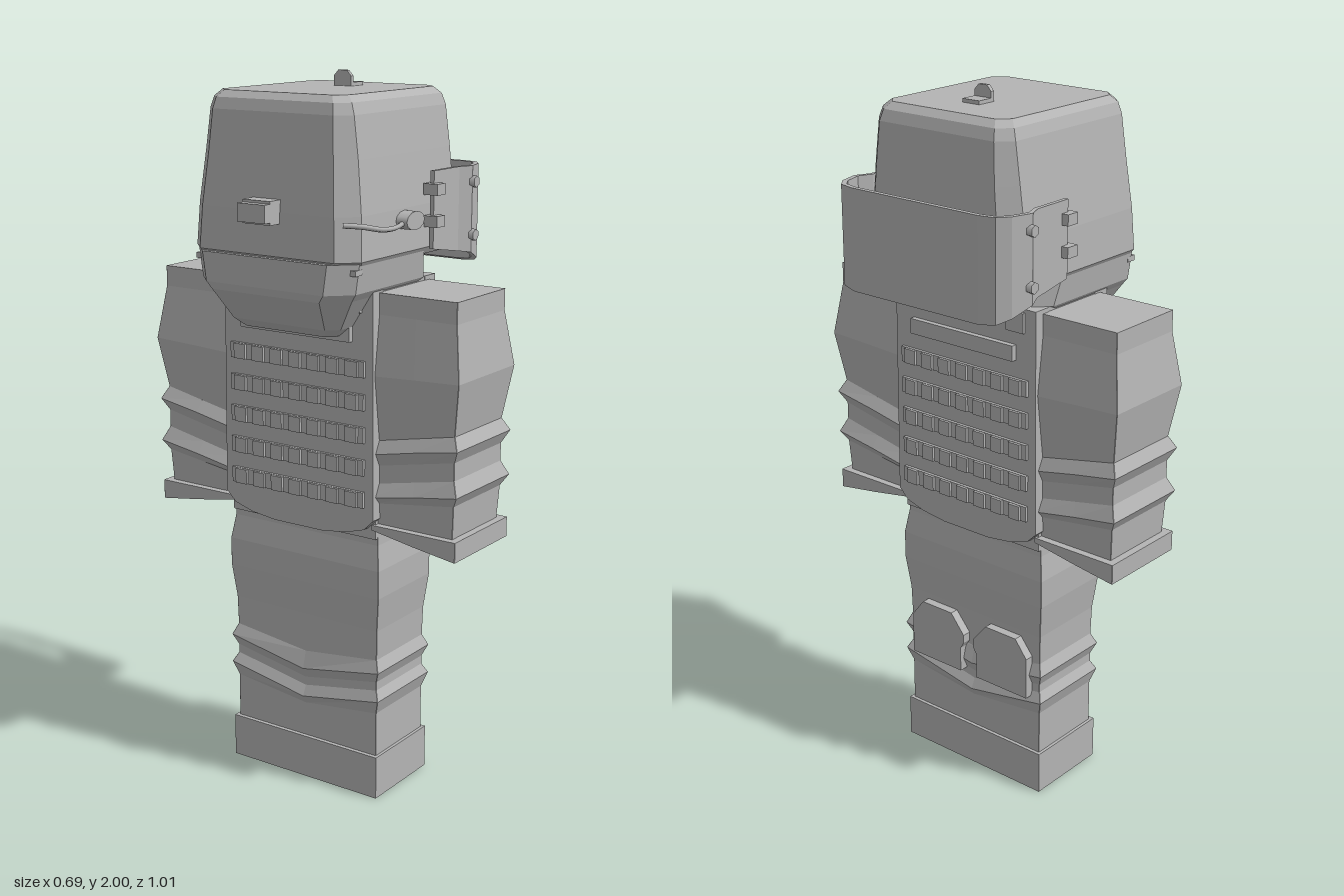
import * as THREE from 'three';

const grey = new THREE.MeshStandardMaterial({ color: 0xb4b4b4 });
grey.name = 'grey';

// Ten-point ring: rectangle with cut corners and a midpoint on the +x and -x sides
function ring(y, x0, x1, z0, z1, c = 0.001, dy = () => 0) {
  const m = (z0 + z1) / 2;
  return [[x1, m], [x1, z0 + c], [x1 - c, z0], [x0 + c, z0], [x0, z0 + c],
    [x0, m], [x0, z1 - c], [x0 + c, z1], [x1 - c, z1], [x1, z1 - c]]
    .map(([x, z]) => new THREE.Vector3(x, y + dy(z), z));
}

// Flat-sided solid through rings listed from bottom to top
function loft(rings) {
  const p = [];
  const tri = (...v) => v.forEach(q => p.push(q.x, q.y, q.z));
  const n = rings[0].length;
  for (let i = 0; i < rings.length - 1; i++) {
    for (let k = 0; k < n; k++) {
      const a = rings[i][k], b = rings[i][(k + 1) % n];
      const c = rings[i + 1][(k + 1) % n], d = rings[i + 1][k];
      tri(a, b, c);
      tri(a, c, d);
    }
  }
  const lo = rings[0], hi = rings[rings.length - 1];
  for (let k = 1; k < n - 1; k++) {
    tri(lo[0], lo[k + 1], lo[k]);
    tri(hi[0], hi[k], hi[k + 1]);
  }
  const g = new THREE.BufferGeometry();
  g.setAttribute('position', new THREE.Float32BufferAttribute(p, 3));
  g.computeVertexNormals();
  return g;
}

function add(parent, name, geometry) {
  const mesh = new THREE.Mesh(geometry, grey);
  mesh.name = name;
  parent.add(mesh);
  return mesh;
}

function box(parent, name, x0, x1, y0, y1, z0, z1) {
  const m = add(parent, name, new THREE.BoxGeometry(x1 - x0, y1 - y0, z1 - z0));
  m.position.set((x0 + x1) / 2, (y0 + y1) / 2, (z0 + z1) / 2);
  return m;
}

// Outline in (z, y) pushed out along +x from x0 to x1
function slab(parent, name, pts, x0, x1) {
  const shape = new THREE.Shape(pts.map(([z, y]) => new THREE.Vector2(-z, y)));
  const g = new THREE.ExtrudeGeometry(shape, { depth: x1 - x0, bevelEnabled: false });
  g.rotateY(Math.PI / 2).translate(x0, 0, 0);
  return add(parent, name, g);
}

// Vest panel with webbing, facing +x
function vestPanel(name) {
  const g = new THREE.Group();
  g.name = name;
  const half = [[0.245, 1.46], [0.25, 0.83], [0.22, 0.80], [0.16, 0.782], [0.08, 0.772]];
  const mirrored = half.map(([z, y]) => [-z, y]).reverse();
  slab(g, 'vestPlate', [...half, ...mirrored], 0.10, 0.152);
  box(g, 'chestStrip', 0.15, 0.168, 1.315, 1.358, -0.18, 0.18);
  for (let i = 0; i < 5; i++) {
    const y = 0.885 + i * 0.09;
    box(g, 'webbing', 0.15, 0.161, y - 0.022, y + 0.022, -0.222, 0.222);
    for (let k = -3; k <= 3; k++) {
      box(g, 'webbingLoop', 0.155, 0.169, y - 0.021, y + 0.021, k * 0.062 - 0.019, k * 0.062 + 0.019);
    }
  }
  for (const s of [-1, 1]) {
    const buckle = box(g, 'strapBuckle', 0.145, 0.16, 1.395, 1.45, -0.03, 0.03);
    buckle.position.z = s * 0.18;
  }
  return g;
}

function buildHead(root) {
  const head = new THREE.Group();
  head.name = 'head';
  root.add(head);

  // Helmet shell: [y, back, front, half width, corner cut]
  const shell = [
    [1.525, -0.275, 0.25, 0.255, 0.05], [1.545, -0.29, 0.265, 0.268, 0.05],
    [1.66, -0.283, 0.265, 0.262, 0.05], [1.80, -0.268, 0.262, 0.245, 0.045],
    [1.91, -0.258, 0.255, 0.23, 0.038], [1.94, -0.25, 0.245, 0.22, 0.034],
    [1.958, -0.232, 0.225, 0.202, 0.03],
  ];
  add(head, 'helmet', loft(shell.map(([y, b, f, w, c]) => ring(y, b, f, -w, w, c))));

  // Neck guard narrowing down the back
  const guard = [
    [1.33, -0.205, -0.13, 0.15, 0.02], [1.355, -0.235, -0.11, 0.18, 0.03],
    [1.44, -0.295, 0.11, 0.235, 0.06], [1.46, -0.30, 0.145, 0.25, 0.06],
    [1.54, -0.30, 0.125, 0.262, 0.06],
  ];
  add(head, 'neckGuard', loft(guard.map(([y, b, f, w, c]) => ring(y, b, f, -w, w, c))));

  // Wrap-around visor with a lower edge that drops toward the front
  const outer = [[0.075, 0.285], [0.2, 0.287], [0.24, 0.305], [0.30, 0.288], [0.332, 0.262], [0.343, 0.215]];
  const inner = [[0.075, 0.273], [0.2, 0.275], [0.24, 0.291], [0.294, 0.275], [0.32, 0.253], [0.329, 0.212]];
  const flip = a => a.map(([x, z]) => [x, -z]).reverse();
  const loop = [...outer, ...flip(outer), ...flip(inner).reverse(), ...inner.slice().reverse()];
  const shape = new THREE.Shape(loop.map(([x, z]) => new THREE.Vector2(x, z)));
  const visor = new THREE.ExtrudeGeometry(shape, { depth: 1, bevelEnabled: false }).rotateX(-Math.PI / 2);
  const pos = visor.attributes.position;
  for (let i = 0; i < pos.count; i++) {
    const x = pos.getX(i);
    const low = x < 0.25 ? 1.54 - (x - 0.075) * 0.17 : 1.51 - (x - 0.25) * 0.44;
    pos.setY(i, pos.getY(i) > 0.5 ? 1.748 : low);
  }
  visor.computeVertexNormals();
  add(head, 'visor', visor);

  // Visor bolts and side brackets
  for (const s of [-1, 1]) {
    for (const y of [1.56, 1.705]) {
      const bolt = add(head, 'visorBolt', new THREE.CylinderGeometry(0.016, 0.016, 0.022, 6));
      bolt.rotation.x = Math.PI / 2;
      bolt.position.set(0.245, y, s * 0.305);
    }
    for (const y of [1.615, 1.70]) {
      const b = box(head, 'visorBracket', 0.06, 0.1, y - 0.015, y + 0.015, -0.022, 0.022);
      b.position.z = s * 0.283;
    }
    const stud = box(head, 'strapStud', -0.255, -0.225, 1.51, 1.525, -0.01, 0.01);
    stud.position.z = s * 0.25;
  }

  // Microphone arm and pad on the left side
  const path = new THREE.CatmullRomCurve3([
    [-0.30, 1.645, 0.25], [-0.26, 1.64, 0.28], [-0.17, 1.622, 0.285], [-0.10, 1.62, 0.283], [-0.04, 1.635, 0.28],
  ].map(p => new THREE.Vector3(...p)));
  add(head, 'microphoneArm', new THREE.TubeGeometry(path, 20, 0.007, 6));
  const pad = add(head, 'microphonePad', new THREE.CylinderGeometry(0.043, 0.043, 0.035, 12));
  pad.rotation.x = Math.PI / 2;
  pad.scale.z = 0.58;
  pad.position.set(-0.033, 1.63, 0.28);

  // Battery box at the back and mount on the crown
  box(head, 'backBox', -0.325, -0.25, 1.63, 1.692, -0.045, 0.043);
  box(head, 'backBoxCap', -0.348, -0.32, 1.637, 1.685, -0.045, 0.043);
  box(head, 'crownBase', 0.06, 0.118, 1.955, 1.968, -0.028, 0.028);
  slab(head, 'crownLug', [[0.028, 1.96], [0.028, 1.985], [0.014, 2], [-0.014, 2], [-0.028, 1.985], [-0.028, 1.96]], 0.06, 0.071);
}

// Sleeve with creases sloping down toward the body; s is the side
function buildArm(root, s) {
  const arm = new THREE.Group();
  arm.name = s > 0 ? 'leftArm' : 'rightArm';
  root.add(arm);
  const slice = (y, out, slope) => {
    const o = 0.482 + out, w = 0.122 + out;
    return ring(y, -w, w, s > 0 ? 0.235 : -o, s > 0 ? o : -0.235, 0.001,
      z => -slope * Math.max(0, 0.48 - Math.abs(z)));
  };
  const sleeve = [
    [0.80, -0.006, 0], [0.905, 0, 0.14], [0.935, 0.018, 0.18], [0.975, 0, 0.2], [1.025, 0, 0.2],
    [1.06, 0.018, 0.2], [1.095, 0, 0.2], [1.24, 0.022, 0.05], [1.39, 0, 0], [1.448, 0, 0],
  ];
  add(arm, 'sleeve', loft(sleeve.map(a => slice(...a))));
  add(arm, 'cuff', loft([slice(0.757, 0.016, -0.17), slice(0.813, 0.016, 0)]));
}

export function createModel() {
  const root = new THREE.Group();
  root.name = 'armouredFigure';

  // Trousers with V-shaped creases, as [y, outward offset, V depth]
  const trousers = [
    [0.10, 0, 0], [0.255, 0, 0.03], [0.295, 0.014, 0.045], [0.325, 0, 0.045], [0.35, 0, 0.045],
    [0.38, 0.014, 0.045], [0.415, 0, 0.03], [0.50, 0.002, 0], [0.60, 0.013, 0],
    [0.68, 0.013, 0], [0.75, 0.002, 0], [0.80, 0, 0],
  ];
  add(root, 'trousers', loft(trousers.map(([y, o, v]) =>
    ring(y, -0.118 - o, 0.118 + o, -0.242 - o, 0.242 + o, 0.001, z => -v * (1 - Math.abs(z) / 0.25)))));
  box(root, 'boots', -0.13, 0.128, 0, 0.125, -0.251, 0.251);

  // Knee pads
  for (const s of [-1, 1]) {
    const pad = [[0.215, 0.305], [0.215, 0.43], [0.175, 0.482], [0.065, 0.482], [0.018, 0.425],
      [0.018, 0.40], [0.03, 0.38], [0.03, 0.305]].map(([z, y]) => [s * z, y]);
    slab(root, s > 0 ? 'leftKneePad' : 'rightKneePad', pad, 0.10, 0.145);
  }

  // Torso and vest
  box(root, 'torso', -0.13, 0.13, 0.77, 1.46, -0.243, 0.243);
  const back = vestPanel('backVest');
  back.rotation.y = Math.PI;
  root.add(vestPanel('frontVest'), back);

  buildArm(root, 1);
  buildArm(root, -1);
  buildHead(root);
  return root;
}
